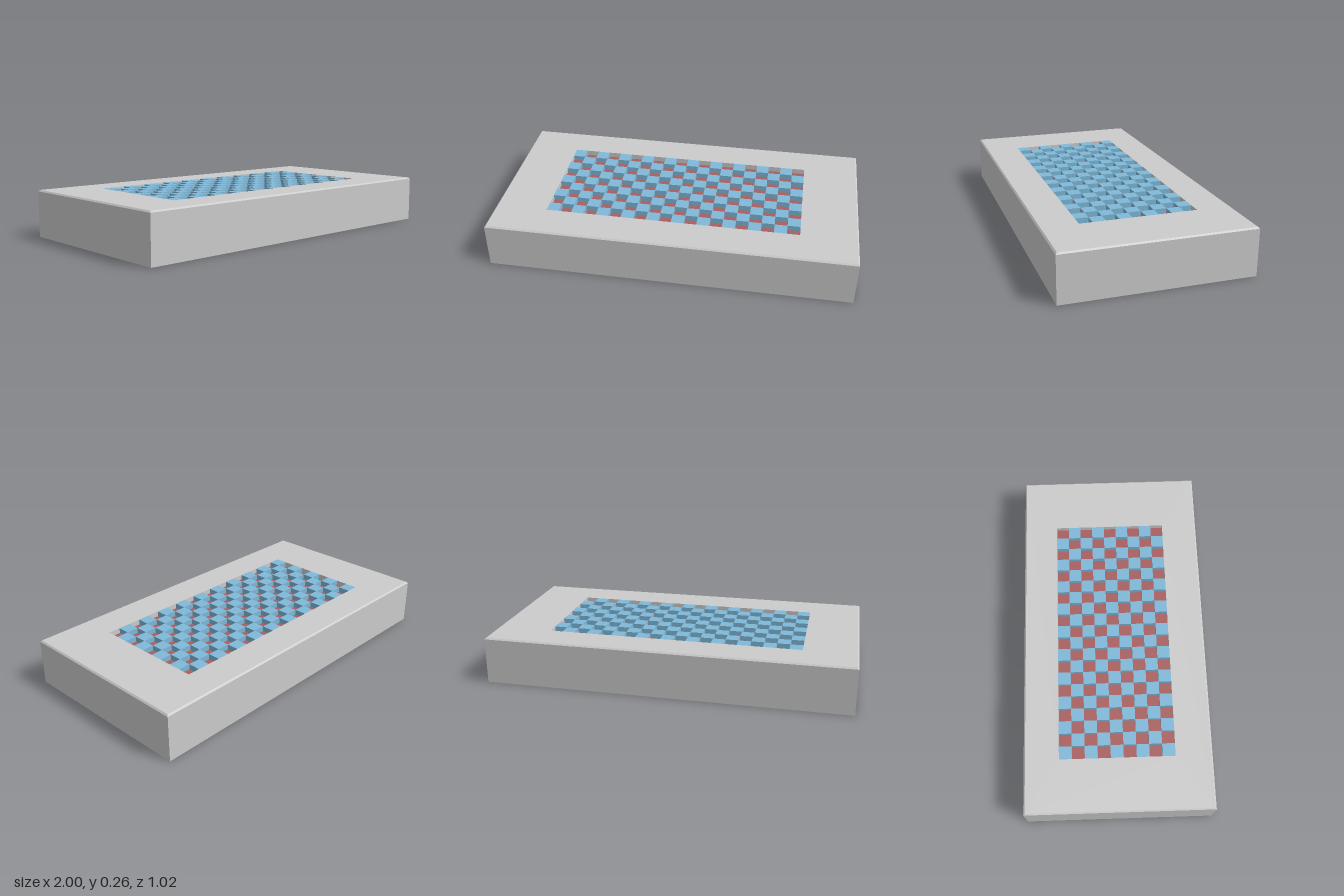
import * as THREE from 'three';
import { mergeGeometries } from 'three/addons/utils/BufferGeometryUtils.js';

const material = (color) => new THREE.MeshStandardMaterial({ color, side: THREE.DoubleSide });

// Skin a sequence of rectangular rings [x0, x1, z0, z1, y] with flat quads.
function skinRings(rings) {
  const positions = [];
  const corners = rings.map(([x0, x1, z0, z1, y]) => [[x0, y, z1], [x1, y, z1], [x1, y, z0], [x0, y, z0]]);
  for (let r = 0; r + 1 < corners.length; r++) {
    for (let i = 0; i < 4; i++) {
      const j = (i + 1) % 4;
      const [a, b, c, d] = [corners[r][i], corners[r][j], corners[r + 1][j], corners[r + 1][i]];
      positions.push(...a, ...b, ...c, ...a, ...c, ...d);
    }
  }
  const geometry = new THREE.BufferGeometry();
  geometry.setAttribute('position', new THREE.Float32BufferAttribute(positions, 3));
  geometry.computeVertexNormals();
  return geometry;
}

export function createModel() {
  const group = new THREE.Group();
  const add = (name, geometry, color) => {
    const mesh = new THREE.Mesh(geometry, material(color));
    mesh.name = name;
    group.add(mesh);
  };

  const cell = 0.07, columns = 20, rows = 9;
  const left = -0.71, back = -0.32;
  const right = left + columns * cell, front = back + rows * cell;
  const top = 0.26, floor = 0.23, hang = 0.2;

  // Bottomless casing: walls, bevelled rim, top with opening
  add('casing', skinRings([
    [-1, 1, -0.51, 0.51, 0],
    [-1, 1, -0.51, 0.51, 0.252],
    [-0.992, 0.992, -0.502, 0.502, top],
    [left, right, back, front, top],
  ]), 0xcccccc);

  // Skirt hanging down around the opening
  add('openingSkirt', skinRings([
    [left, right, back, front, top],
    [left, right, back, front, 0.19],
  ]), 0xcccccc);

  // Checkerboard: raised hollow blocks alternate with sunken tiles
  const raised = [], sunken = [];
  for (let i = 0; i < columns; i++) {
    for (let j = 0; j < rows; j++) {
      const x = left + (i + 0.5) * cell, z = back + (j + 0.5) * cell;
      const tile = new THREE.PlaneGeometry(cell, cell).rotateX(-Math.PI / 2).toNonIndexed();
      tile.deleteAttribute('uv');
      if ((i + j) % 2 === 0) {
        const h = cell / 2 - 0.0003;
        raised.push(tile.translate(x, top, z));
        raised.push(skinRings([
          [x - h, x + h, z - h, z + h, hang],
          [x - h, x + h, z - h, z + h, top],
        ]));
      } else {
        sunken.push(tile.translate(x, floor, z));
      }
    }
  }
  add('raisedBlocks', mergeGeometries(raised), 0x7fb8d8);
  add('sunkenTiles', mergeGeometries(sunken), 0xa85f5f);
  return group;
}
